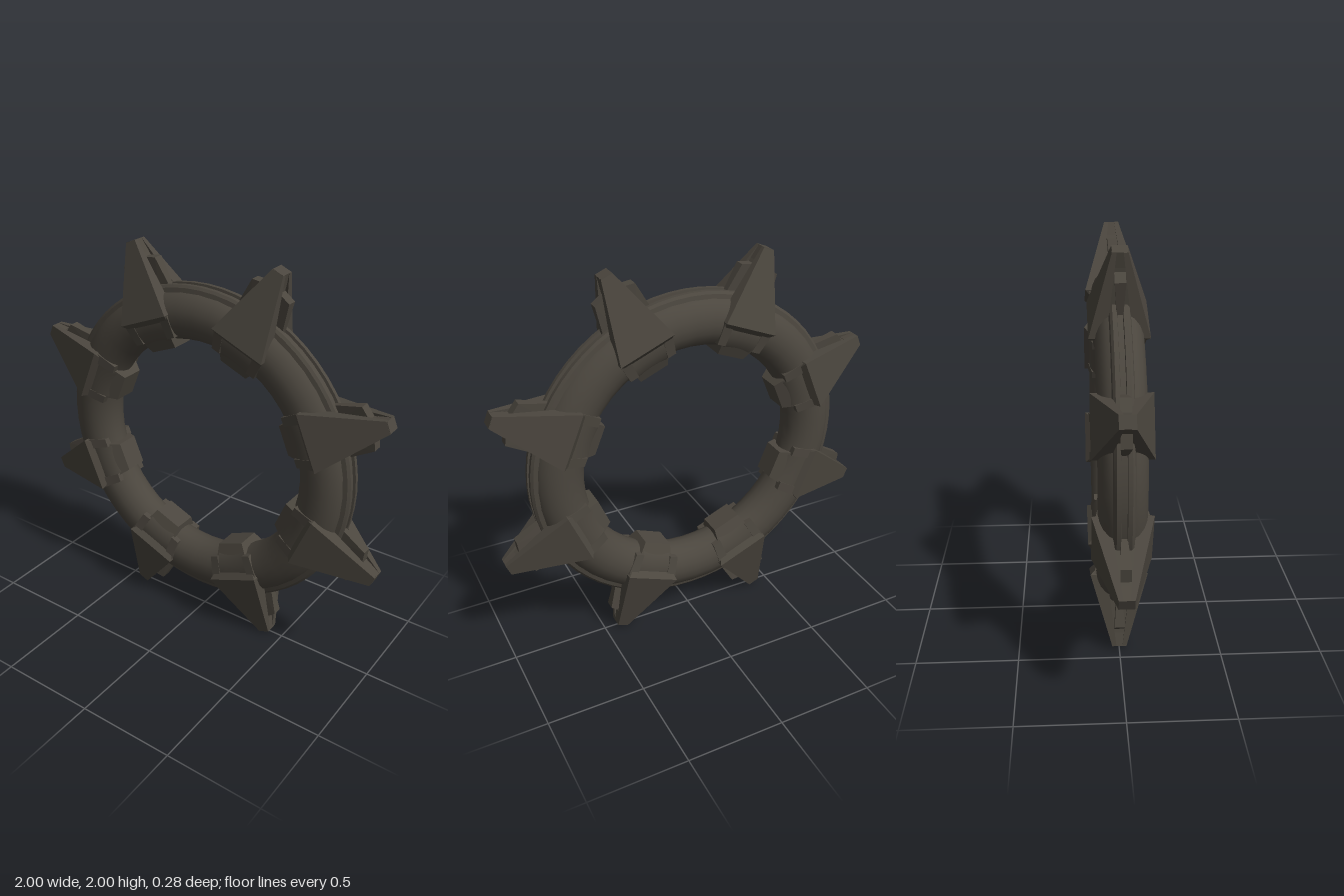
import * as THREE from 'three';

const SPIKES = 8;

// Tapered block running outwards along +y from y0 to y1.
// Each end is [xMin, xMax, zMin, zMax].
function taper(y0, a, y1, b) {
  const geo = new THREE.BoxGeometry(1, 1, 1);
  const p = geo.attributes.position;
  for (let i = 0; i < p.count; i++) {
    const outer = p.getY(i) > 0;
    const end = outer ? b : a;
    p.setXYZ(i, p.getX(i) < 0 ? end[0] : end[1], outer ? y1 : y0, p.getZ(i) < 0 ? end[2] : end[3]);
  }
  geo.computeVertexNormals();
  return geo;
}

// Arc of tube with an oval section, centred on the +y direction
function ovalArc(radius, tube, depth, arc, segments) {
  const geo = new THREE.TorusGeometry(radius, tube, 20, segments, arc);
  geo.scale(1, 1, depth / tube);
  geo.rotateZ(Math.PI / 2 - arc / 2);
  return geo;
}

function add(parent, name, geo, mat) {
  const mesh = new THREE.Mesh(geo, mat);
  mesh.name = name;
  parent.add(mesh);
  return mesh;
}

function makeSpike(mat, openMat) {
  const spike = new THREE.Group();
  spike.name = 'spike';

  // Recessed core between the two face plates
  add(spike, 'spikeCore', taper(0.66, [-0.12, 0.12, -0.1, 0.1], 1.05, [-0.026, 0.026, -0.03, 0.03]), mat);
  // Square tip
  add(spike, 'spikeTip', taper(1.0, [-0.04, 0.04, -0.042, 0.042], 1.07, [-0.029, 0.029, -0.035, 0.035]), mat);

  for (const s of [-1, 1]) {
    const z = (near, far) => (s > 0 ? [near, far] : [-far, -near]);
    // Front and back triangular plates with a chamfered foot
    add(spike, 'facePlate', taper(0.7, [-0.145, 0.145, ...z(0.06, 0.14)], 1.068, [-0.03, 0.03, ...z(0.015, 0.036)]), mat);
    add(spike, 'plateFoot', taper(0.66, [-0.115, 0.115, ...z(0.05, 0.1)], 0.7, [-0.145, 0.145, ...z(0.06, 0.14)]), mat);

    // Prongs gripping the tube on either side of the foot
    for (const t of [-1, 1]) {
      const x = (near, far) => (t > 0 ? [near, far] : [-far, -near]);
      add(spike, 'prong', taper(0.585, [...x(0.08, 0.125), ...z(0.04, 0.1)], 0.7, [...x(0.09, 0.142), ...z(0.06, 0.122)]), mat);
    }

    // Thin side fin standing out from each flank
    const fin = new THREE.Shape();
    fin.moveTo(s * 0.05, 0.78);
    fin.lineTo(s * 0.13, 0.8);
    fin.lineTo(s * 0.105, 0.965);
    fin.lineTo(s * 0.03, 0.985);
    fin.closePath();
    const finGeo = new THREE.ExtrudeGeometry(fin, { depth: 0.05, bevelEnabled: false });
    finGeo.translate(0, 0, -0.025);
    // narrow the fin towards the ring
    const p = finGeo.attributes.position;
    for (let i = 0; i < p.count; i++) if (p.getY(i) < 0.85) p.setZ(i, p.getZ(i) * 0.55);
    finGeo.computeVertexNormals();
    add(spike, 'sideFin', finGeo, mat);
  }

  // Sleeve around the tube, bulging on the inside of the ring
  add(spike, 'sleeve', ovalArc(0.68, 0.146, 0.113, 0.27, 4), openMat);
  add(spike, 'innerClamp', taper(0.53, [-0.075, 0.075, -0.06, 0.06], 0.62, [-0.1, 0.1, -0.1, 0.1]), mat);
  return spike;
}

export function createModel() {
  const model = new THREE.Group();
  model.name = 'spikedRing';
  const mat = new THREE.MeshStandardMaterial({ color: 0x4b463e });
  mat.name = 'dark iron';
  mat.side = THREE.DoubleSide;

  const ring = new THREE.Group();
  ring.name = 'ring';
  ring.position.y = 1;
  model.add(ring);

  // Main tube
  add(ring, 'tube', ovalArc(0.695, 0.127, 0.112, Math.PI * 2, 48), mat);

  // Rail around the outside with a shallow groove down the middle
  const profile = [
    [0.78, -0.055], [0.828, -0.045], [0.84, -0.034], [0.84, -0.014], [0.826, -0.012],
    [0.826, 0.012], [0.84, 0.014], [0.84, 0.034], [0.828, 0.045], [0.78, 0.055],
  ];
  for (let i = 0; i < profile.length - 1; i++) {
    const strip = [profile[i], profile[i + 1]].map(([r, z]) => new THREE.Vector2(r, z));
    const geo = new THREE.LatheGeometry(strip, 64);
    geo.rotateX(Math.PI / 2);
    add(ring, 'outerRail', geo, mat);
  }

  // Eight spikes, offset by half a step from the vertical
  for (let i = 0; i < SPIKES; i++) {
    const spike = makeSpike(mat, mat);
    spike.rotation.z = ((i + 0.5) / SPIKES) * Math.PI * 2;
    ring.add(spike);
  }
  return model;
}
